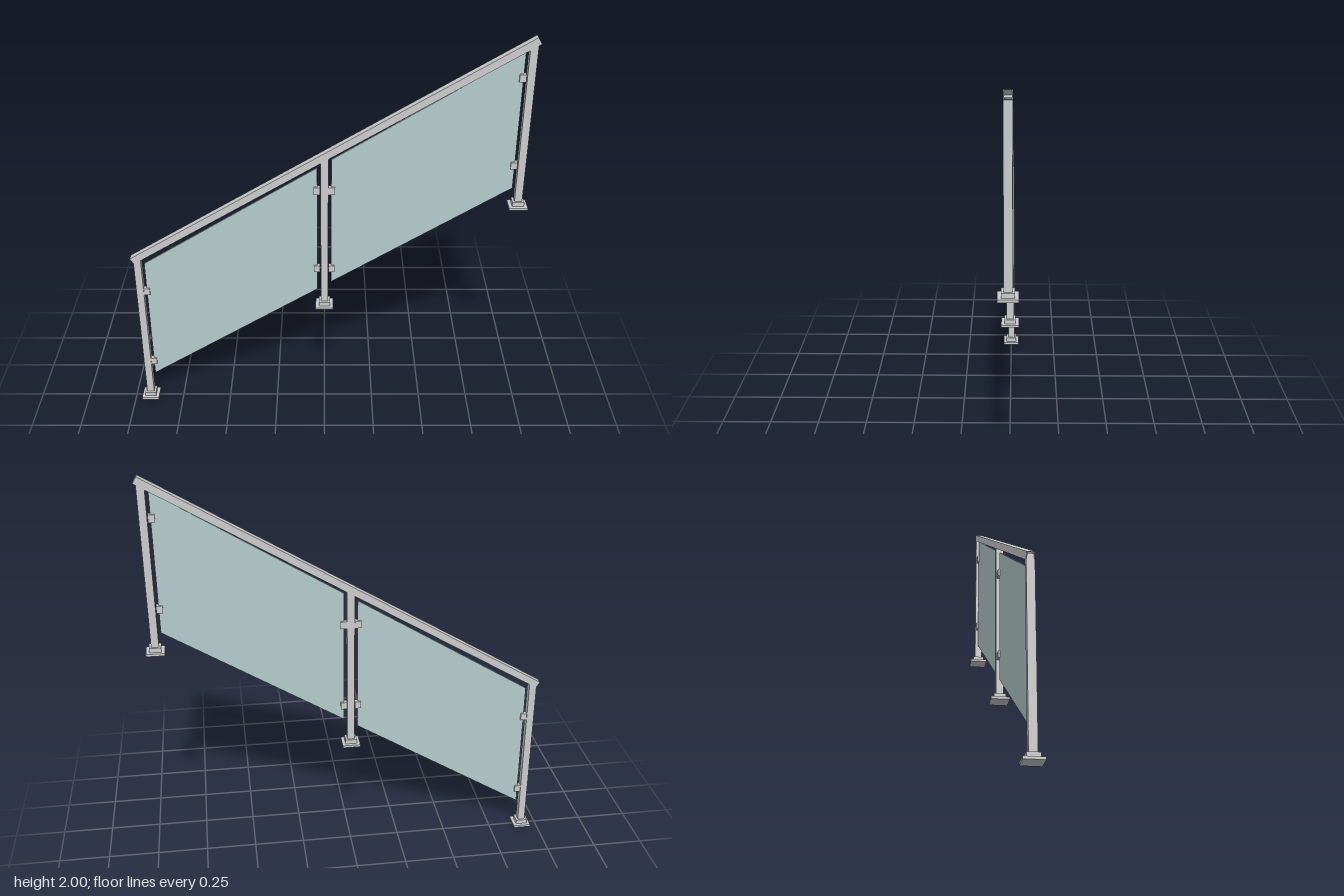
import * as THREE from 'three';

const metal = new THREE.MeshStandardMaterial({ color: 0xcccccc });
const glass = new THREE.MeshStandardMaterial({ color: 0xb4cccc });

export function createModel() {
  const model = new THREE.Group();

  const add = (name, geometry, material, x, y, z = 0, parent = model) => {
    const mesh = new THREE.Mesh(geometry, material);
    mesh.name = name;
    mesh.position.set(x, y, z);
    parent.add(mesh);
    return mesh;
  };
  const box = (name, w, h, d, x, y, parent) =>
    add(name, new THREE.BoxGeometry(w, h, d), metal, x, y, 0, parent);

  // Sloping handrail centre line
  const start = new THREE.Vector2(-0.946, 0.847);
  const end = new THREE.Vector2(0.941, 1.984);
  const dir = end.clone().sub(start);
  const railY = (x) => start.y + ((x - start.x) * dir.y) / dir.x;

  // Handrail: hollow rectangular tube
  const rect = (target, w, h) => {
    target.moveTo(-w, -h);
    target.lineTo(w, -h);
    target.lineTo(w, h);
    target.lineTo(-w, h);
    target.closePath();
    return target;
  };
  const section = rect(new THREE.Shape(), 0.0185, 0.0175);
  section.holes.push(rect(new THREE.Path(), 0.0145, 0.0135));
  const railGeometry = new THREE.ExtrudeGeometry(section, { depth: dir.length(), bevelEnabled: false });
  railGeometry.rotateY(Math.PI / 2).rotateZ(dir.angle());
  add('handrail', railGeometry, metal, start.x, start.y);

  // Posts with stepped feet, each one stair flight higher
  [[-0.921, 0, 'lowerPost'], [0, 0.578, 'middlePost'], [0.919, 1.15, 'upperPost']].forEach(([x, y, name]) => {
    const post = new THREE.Group();
    post.name = name;
    model.add(post);
    const height = railY(x) - y;
    box('postShaft', 0.036, height - 0.005, 0.036, x, y + height / 2 + 0.0025, post);
    box('basePlate', 0.088, 0.012, 0.088, x, y + 0.006, post);
    box('baseCollar', 0.056, 0.022, 0.056, x, y + 0.023, post);
  });

  // Glass panels cut parallel to the slope, with clips at both edges
  const thickness = 0.008;
  [
    { x0: -0.889, x1: -0.034, y: 0.148, clips: [[-0.888, 0.228], [-0.036, 0.8]] },
    { x0: 0.032, x1: 0.887, y: 0.72, clips: [[0.034, 0.8], [0.883, 1.37]] },
  ].forEach(({ x0, x1, y, clips }) => {
    const rise = 0.53, height = 0.678;
    const outline = new THREE.Shape([
      new THREE.Vector2(x0, y),
      new THREE.Vector2(x1, y + rise),
      new THREE.Vector2(x1, y + rise + height),
      new THREE.Vector2(x0, y + height),
    ]);
    const geometry = new THREE.ExtrudeGeometry(outline, { depth: thickness, bevelEnabled: false });
    add('glassPanel', geometry, glass, 0, 0, -thickness / 2);
    for (const [cx, cy] of clips)
      for (const dy of [0, 0.436]) box('glassClip', 0.03, 0.036, 0.026, cx, cy + dy);
  });

  return model;
}
